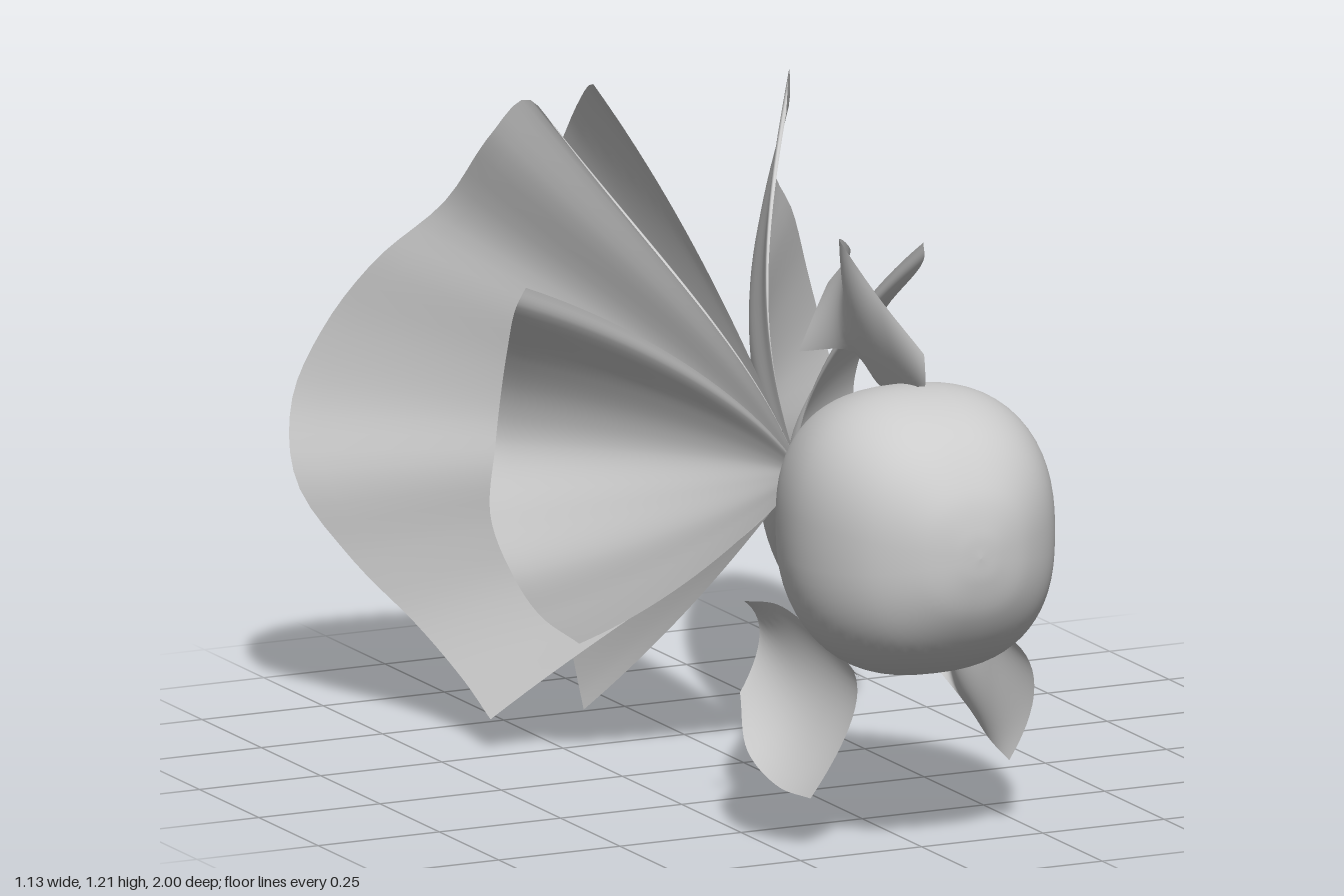
import * as THREE from 'three';

const bodyMat = new THREE.MeshStandardMaterial({ color: 0xcccccc });
const finMat = new THREE.MeshStandardMaterial({ color: 0xcccccc, side: THREE.DoubleSide });
const APEX = [0, 0.602, 0.24];

// Smooth curve through points, optionally mirrored in x
const curve = (pts, side = 1) =>
  new THREE.CatmullRomCurve3(pts.map(([x, y, z]) => new THREE.Vector3(x * side, y, z)));

// Grid surface: at(u, v) gives a point; wrap joins the last column to the first
function surface(name, nu, nv, at, mat, wrap = false) {
  const pos = [], index = [], cols = wrap ? nu : nu + 1;
  for (let j = 0; j <= nv; j++)
    for (let i = 0; i < cols; i++) pos.push(...at(i / nu, j / nv));
  for (let j = 0; j < nv; j++)
    for (let i = 0; i < nu; i++) {
      const a = j * cols + i, b = j * cols + ((i + 1) % cols);
      index.push(a, b, a + cols, b, b + cols, a + cols);
    }
  const g = new THREE.BufferGeometry();
  g.setAttribute('position', new THREE.Float32BufferAttribute(pos, 3));
  g.setIndex(index);
  g.computeVertexNormals();
  const mesh = new THREE.Mesh(g, mat);
  mesh.name = name;
  return mesh;
}

// Tail lobe fanning from the tail root to its rim; flare bends it sideways,
// pinch narrows (or, if negative, widens) its height part-way along
function fan(name, rim, flare, pinch, side = 1) {
  const c = curve(rim, side);
  return surface(name, 48, 24, (u, v) => {
    const p = c.getPoint(u), spread = v - pinch * v * v * (1 - v);
    return [p.x * v ** flare, APEX[1] + (p.y - APEX[1]) * spread, APEX[2] + (p.z - APEX[2]) * v];
  }, finMat);
}

// Small fin spanning a base curve, a middle curve and a rim curve
function fin(name, base, middle, rim) {
  const [a, m, b] = [base, middle, rim].map(p => curve(p));
  return surface(name, 28, 14, (u, v) =>
    new THREE.QuadraticBezierCurve3(
      a.getPoint(u),
      m.getPoint(u).multiplyScalar(2).sub(a.getPoint(u).add(b.getPoint(u)).multiplyScalar(0.5)),
      b.getPoint(u)).getPoint(v).toArray(), finMat);
}

// Teardrop body with a squarish cross-section
function body() {
  const profile = new THREE.CatmullRomCurve3([
    [0, 0.237], [0.02, 0.247], [0.058, 0.3], [0.122, 0.4], [0.188, 0.5], [0.243, 0.6],
    [0.27, 0.72], [0.255, 0.82], [0.205, 0.91], [0.12, 0.975], [0.05, 0.996], [0, 1],
  ].map(([r, z]) => new THREE.Vector3(r, 0, z)));
  const round = (t) => Math.sign(t) * Math.abs(t) ** (2 / 2.5);
  return surface('body', 64, 64, (u, v) => {
    const p = profile.getPoint(v), a = u * Math.PI * 2, r = Math.max(p.x, 0);
    return [round(Math.cos(a)) * r * 0.93, 0.602 + round(Math.sin(a)) * r, p.z];
  }, bodyMat, true);
}

export function createModel() {
  const model = new THREE.Group();
  model.name = 'fish';
  model.add(body());

  // Upright middle tail lobe
  model.add(fan('middleTailFin', [
    [-0.08, 1.2, -0.47], [-0.05, 1.17, -0.56], [-0.01, 1.06, -0.72], [0.005, 0.9, -0.85],
    [0.05, 0.74, -0.95], [-0.02, 0.6, -1], [-0.035, 0.5, -0.98], [0, 0.36, -0.86],
    [-0.045, 0.22, -0.73], [-0.055, 0.1, -0.62], [-0.065, 0.03, -0.56], [-0.08, 0, -0.51],
  ], 2.7, 0));

  // Paired tail lobes
  for (const [side, word] of [[1, 'left'], [-1, 'right']]) {
    model.add(fan(word + 'LargeTailFin', [
      [0.23, 1.15, -0.29], [0.27, 1.215, -0.36], [0.31, 1.13, -0.44], [0.34, 0.98, -0.57],
      [0.43, 0.86, -0.67], [0.5, 0.72, -0.75], [0.55, 0.58, -0.78], [0.565, 0.44, -0.73],
      [0.49, 0.3, -0.65], [0.41, 0.19, -0.54], [0.375, 0.11, -0.42], [0.38, 0.06, -0.29],
    ], 1.85, 0.35, side));
    model.add(fan(word + 'SmallTailFin', [
      [0.41, 0.93, -0.08], [0.42, 0.89, -0.1], [0.39, 0.78, -0.2], [0.37, 0.67, -0.27],
      [0.37, 0.58, -0.29], [0.4, 0.46, -0.25], [0.385, 0.36, -0.19], [0.34, 0.28, -0.16],
      [0.28, 0.23, -0.12],
    ], 1.6, -0.25, side));
  }

  // Back fin
  model.add(fin('dorsalFin',
    [[0, 0.88, 0.765], [0, 0.86, 0.68], [0, 0.84, 0.58], [0, 0.88, 0.45], [-0.05, 0.86, 0.335]],
    [[0, 0.91, 0.765], [-0.035, 0.95, 0.68], [-0.06, 0.98, 0.58], [-0.02, 0.96, 0.45], [-0.03, 0.93, 0.355]],
    [[0, 0.94, 0.76], [-0.05, 1.035, 0.67], [-0.085, 1.125, 0.58], [-0.005, 1.07, 0.46], [0, 0.99, 0.355]]));

  // Belly fins
  model.add(fin('leftBellyFin',
    [[0.18, 0.38, 0.75], [0.17, 0.41, 0.66], [0.19, 0.45, 0.57], [0.225, 0.475, 0.48]],
    [[0.235, 0.28, 0.745], [0.18, 0.28, 0.67], [0.15, 0.32, 0.58], [0.185, 0.38, 0.5]],
    [[0.21, 0.13, 0.69], [0.195, 0.16, 0.64], [0.18, 0.21, 0.58], [0.145, 0.27, 0.535]]));
  model.add(fin('rightBellyFin',
    [[-0.15, 0.36, 0.76], [-0.17, 0.4, 0.67], [-0.2, 0.44, 0.56], [-0.225, 0.43, 0.46]],
    [[-0.14, 0.26, 0.745], [-0.16, 0.27, 0.67], [-0.18, 0.3, 0.57], [-0.19, 0.36, 0.455]],
    [[-0.2, 0.1, 0.69], [-0.24, 0.115, 0.64], [-0.27, 0.17, 0.57], [-0.24, 0.26, 0.475]]));
  return model;
}
